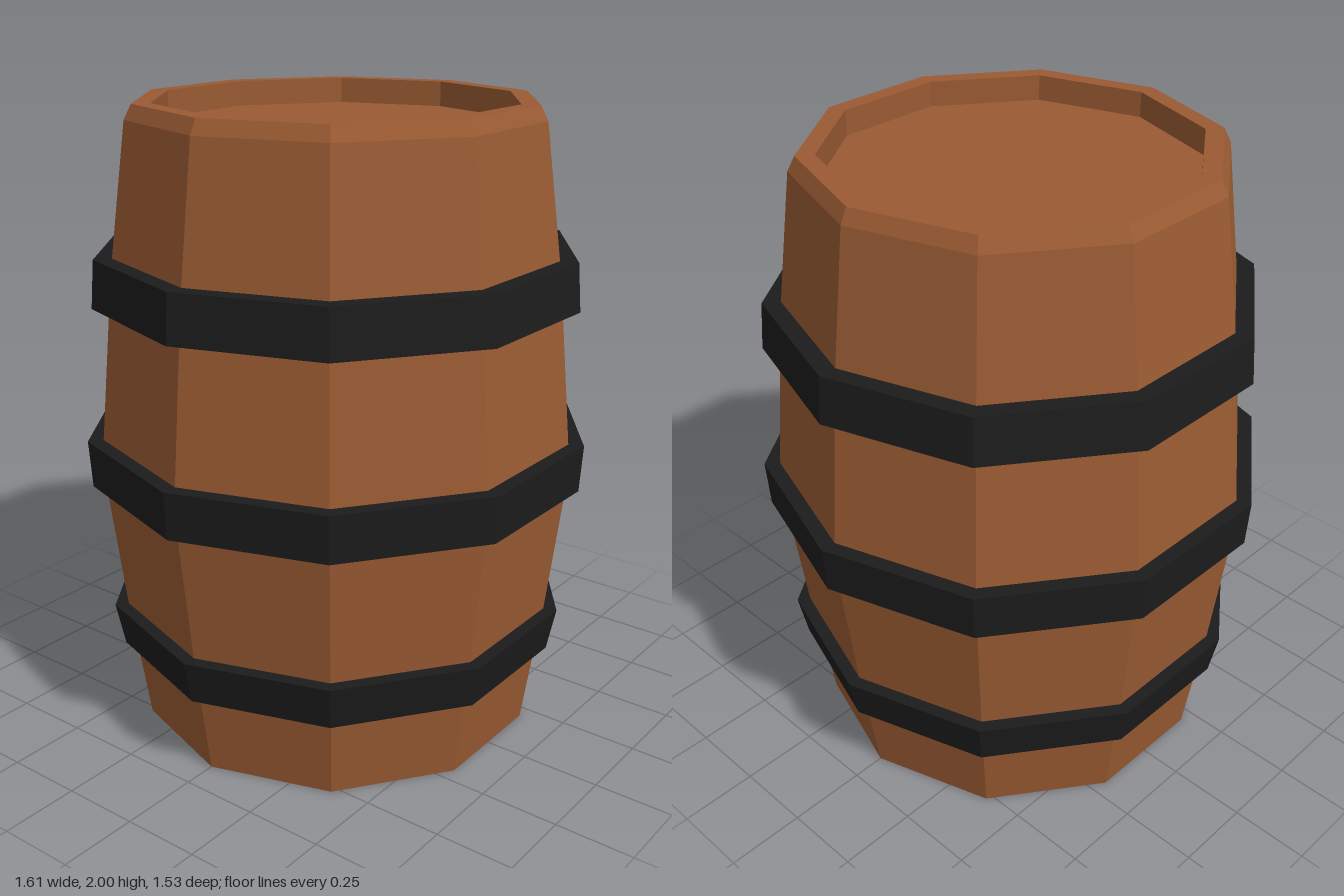
import * as THREE from 'three';

const SIDES = 10;

// Ten-sided turned part with corners on the x axis; profile is [radius, y], bottom to top
function turned(name, profile, material) {
  const points = profile.map(([r, y]) => new THREE.Vector2(r, y));
  const mesh = new THREE.Mesh(new THREE.LatheGeometry(points, SIDES, Math.PI / SIDES), material);
  mesh.name = name;
  return mesh;
}

export function createModel() {
  const wood = new THREE.MeshStandardMaterial({ color: 0x9a5b33, flatShading: true });
  const iron = new THREE.MeshStandardMaterial({ color: 0x1c1c1c, flatShading: true });
  const barrel = new THREE.Group();
  barrel.name = 'barrel';

  // Bulging staves, closed underneath, with a bevelled rim and a sunken lid
  barrel.add(turned('staves', [
    [0, 0], [0.645, 0], [0.705, 0.41], [0.762, 0.9], [0.705, 1.5],
    [0.643, 1.955], [0.62, 2], [0.563, 2],
  ], wood));
  barrel.add(turned('lid', [[0.563, 2], [0.563, 1.92], [0, 1.92]], wood));

  // Hoops: bottom y, top y, bottom radius, top radius
  const hoops = [
    ['lowerHoop', 0.27, 0.41, 0.72, 0.748],
    ['middleHoop', 0.83, 0.98, 0.794, 0.803],
    ['upperHoop', 1.4, 1.55, 0.767, 0.755],
  ];
  for (const [name, y0, y1, r0, r1] of hoops) {
    const inner = 0.1;
    barrel.add(turned(name, [
      [r0 - inner, y0], [r0, y0], [r1, y1], [r1 - inner, y1],
    ], iron));
  }
  return barrel;
}
